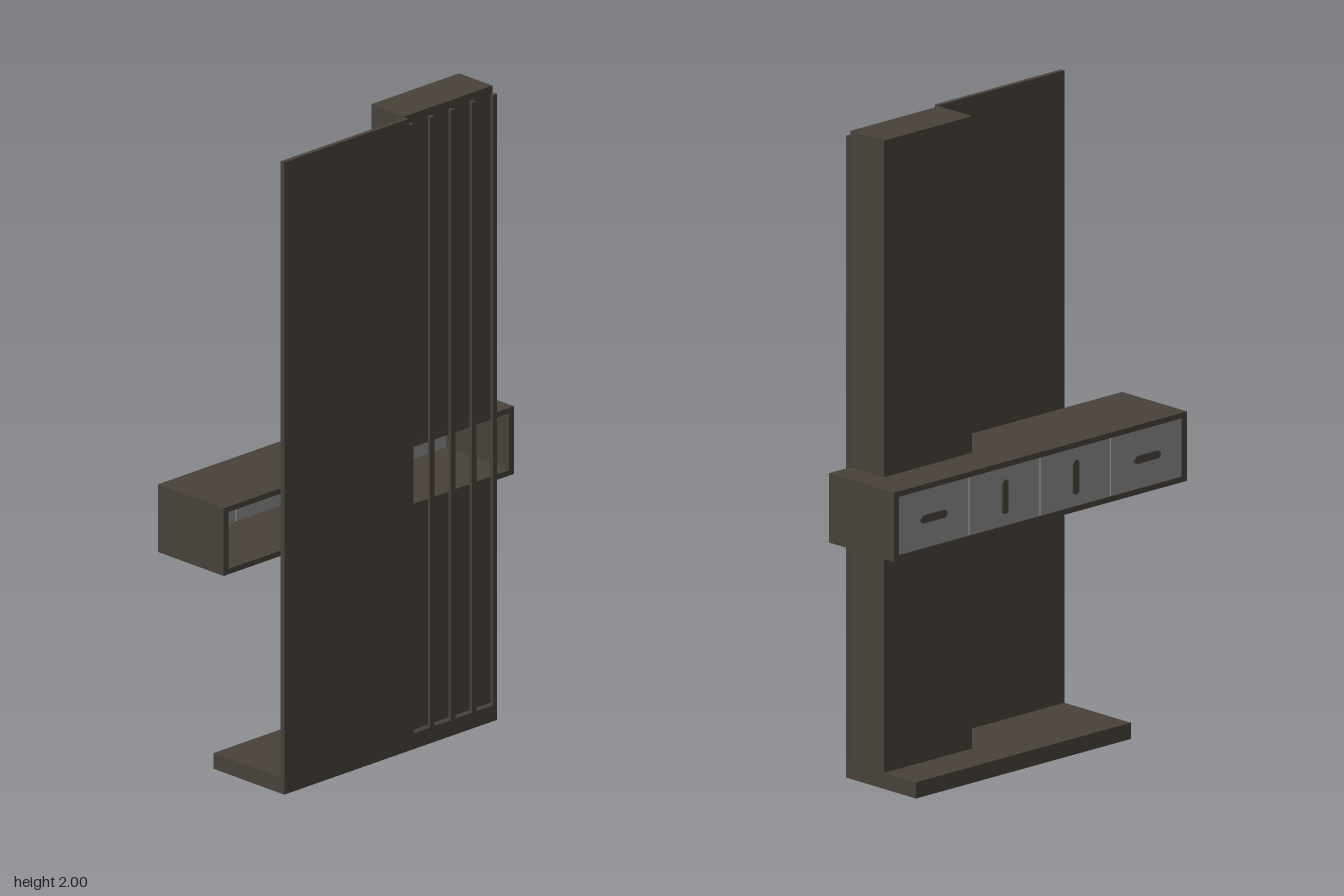
import * as THREE from 'three';

export function createModel() {
  const model = new THREE.Group();
  const wood = new THREE.MeshStandardMaterial({ color: 0x48413a });
  wood.name = 'dark wood';
  const grey = new THREE.MeshStandardMaterial({ color: 0x8c8c8c });
  grey.name = 'grey lacquer';

  // box given by its lower and upper limits on each axis
  function box(name, mat, [x0, x1], [y0, y1], [z0, z1]) {
    const mesh = new THREE.Mesh(new THREE.BoxGeometry(x1 - x0, y1 - y0, z1 - z0), mat);
    mesh.position.set((x0 + x1) / 2, (y0 + y1) / 2, (z0 + z1) / 2);
    mesh.name = name;
    model.add(mesh);
    return mesh;
  }

  // base and tall side panel
  box('base', wood, [-0.15, 0.148], [0, 0.05], [-0.51, 0.37]);
  box('sidePanel', wood, [0.133, 0.148], [0.05, 2], [-0.145, 0.37]);

  // column, interrupted by the drawer case
  const columnX = [-0.015, 0.126], columnZ = [-0.512, -0.15];
  box('lowerColumn', wood, columnX, [0.05, 0.748], columnZ);
  box('upperColumn', wood, columnX, [0.962, 2], columnZ);

  // upright slats with a rounded back
  const slat = new THREE.Shape();
  slat.moveTo(0.148, -0.009);
  slat.lineTo(0.148, 0.009);
  slat.lineTo(0.142, 0.009);
  slat.absarc(0.142, 0, 0.009, Math.PI / 2, Math.PI * 1.5, false);
  const slatGeo = new THREE.ExtrudeGeometry(slat, { depth: 1.93, bevelEnabled: false, curveSegments: 8 });
  slatGeo.rotateX(-Math.PI / 2);
  for (let i = 0; i < 5; i++) {
    const mesh = new THREE.Mesh(slatGeo, wood);
    mesh.position.set(0, 0.05, -0.155 - i * 0.0865);
    mesh.name = 'slat';
    model.add(mesh);
  }

  // drawer case: rectangular sleeve running through in x
  const outer = new THREE.Shape();
  outer.moveTo(-0.6, 0.748).lineTo(0.6, 0.748).lineTo(0.6, 0.962).lineTo(-0.6, 0.962).closePath();
  const inner = new THREE.Path();
  inner.moveTo(-0.58, 0.765).lineTo(-0.58, 0.945).lineTo(0.58, 0.945).lineTo(0.58, 0.765).closePath();
  outer.holes.push(inner);
  const caseGeo = new THREE.ExtrudeGeometry(outer, { depth: 0.277, bevelEnabled: false });
  caseGeo.rotateY(-Math.PI / 2);
  const drawerCase = new THREE.Mesh(caseGeo, wood);
  drawerCase.position.x = 0.127;
  drawerCase.name = 'drawerCase';
  model.add(drawerCase);

  // stadium-shaped handle
  const handle = new THREE.Shape();
  handle.absarc(0.041, 0, 0.012, -Math.PI / 2, Math.PI / 2, false);
  handle.absarc(-0.041, 0, 0.012, Math.PI / 2, Math.PI * 1.5, false);
  handle.closePath();
  const handleGeo = new THREE.ExtrudeGeometry(handle, { depth: 0.012, bevelEnabled: false, curveSegments: 10 });
  handleGeo.rotateY(-Math.PI / 2);

  // four drawer fronts, lying handles outside and upright ones inside
  for (let i = 0; i < 4; i++) {
    const z0 = -0.58 + i * 0.29;
    box('drawerFront', grey, [-0.147, -0.138], [0.765, 0.945], [z0 + 0.002, z0 + 0.288]);
    const lying = i === 0 || i === 3;
    const side = i < 2 ? -1 : 1;
    const mesh = new THREE.Mesh(handleGeo, wood);
    mesh.position.set(-0.141, 0.855, side * (lying ? 0.437 : 0.145));
    if (!lying) mesh.rotation.x = Math.PI / 2;
    mesh.name = 'drawerHandle';
    model.add(mesh);
  }
  return model;
}
